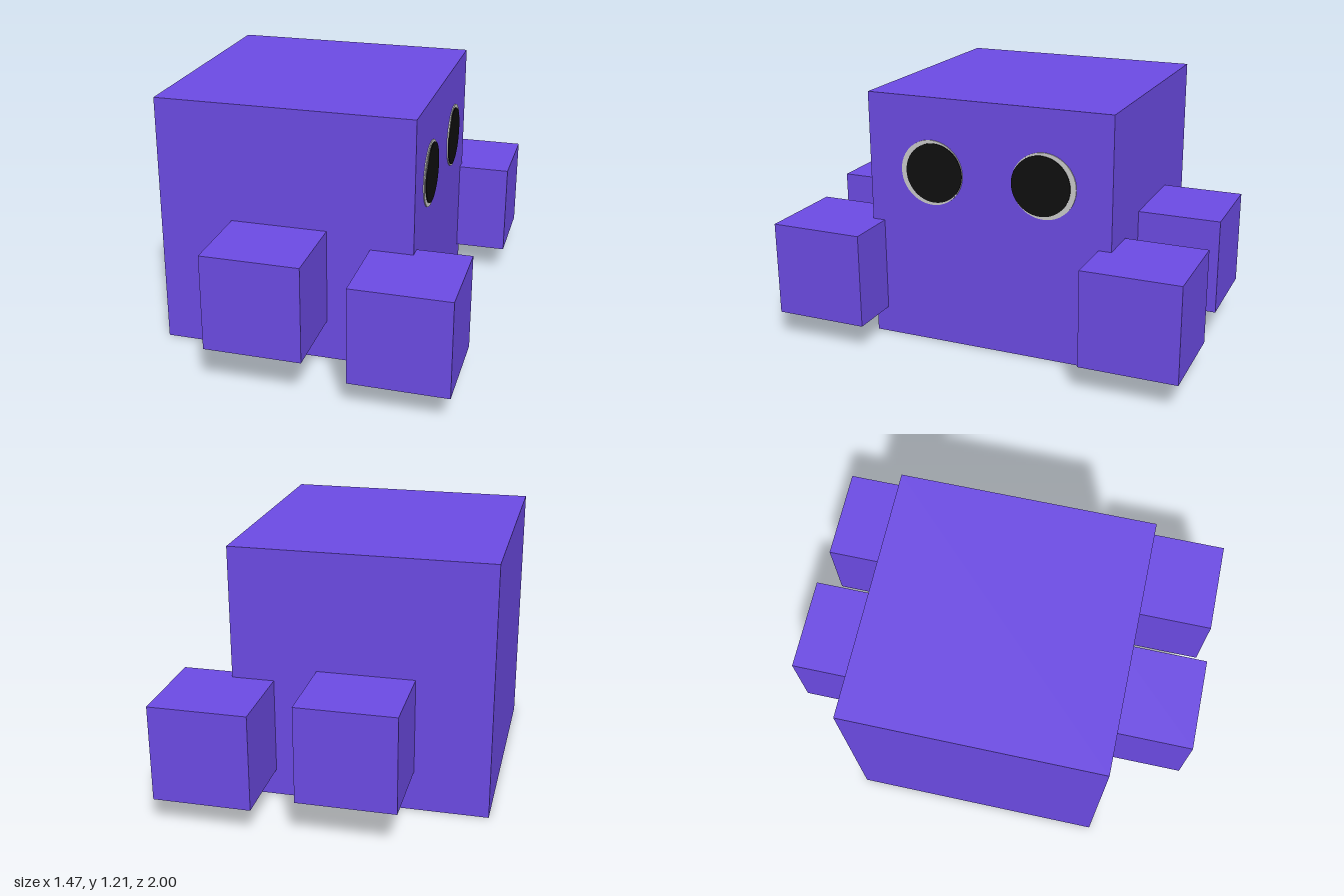
import * as THREE from 'three';

export function createModel() {
  const model = new THREE.Group();
  const purple = new THREE.MeshStandardMaterial({ color: 0x6c4be4, flatShading: true });
  const grey = new THREE.MeshStandardMaterial({ color: 0xcccccc });
  const black = new THREE.MeshStandardMaterial({ color: 0x0f0f0f });

  function add(name, geometry, material, x, y, z) {
    const mesh = new THREE.Mesh(geometry, material);
    mesh.name = name;
    mesh.position.set(x, y, z);
    model.add(mesh);
  }

  // Thin round disc facing +x
  const disc = (radius, depth) => new THREE.CylinderGeometry(radius, radius, depth, 48).rotateZ(-Math.PI / 2);

  // Cube body, its face looks along +x
  add('body', new THREE.BoxGeometry(1.21, 1.214, 1.212), purple, -0.13, 0.607, 0);

  const limb = new THREE.BoxGeometry(0.456, 0.456, 0.456);
  const eye = disc(0.157, 0.02);
  const pupil = disc(0.143, 0.02);

  for (const side of [1, -1]) {
    const suffix = side > 0 ? 'Left' : 'Right';
    // Side block and forward block
    add('sideBlock' + suffix, limb, purple, -0.156, 0.424, side * 0.772);
    add('forwardBlock' + suffix, limb, purple, 0.503, 0.358, side * 0.772);
    // Eye disc with the pupil shifted towards the middle
    add('eye' + suffix, eye, grey, 0.47, 0.855, side * 0.28);
    add('pupil' + suffix, pupil, black, 0.475, 0.855, side * 0.267);
  }

  return model;
}
